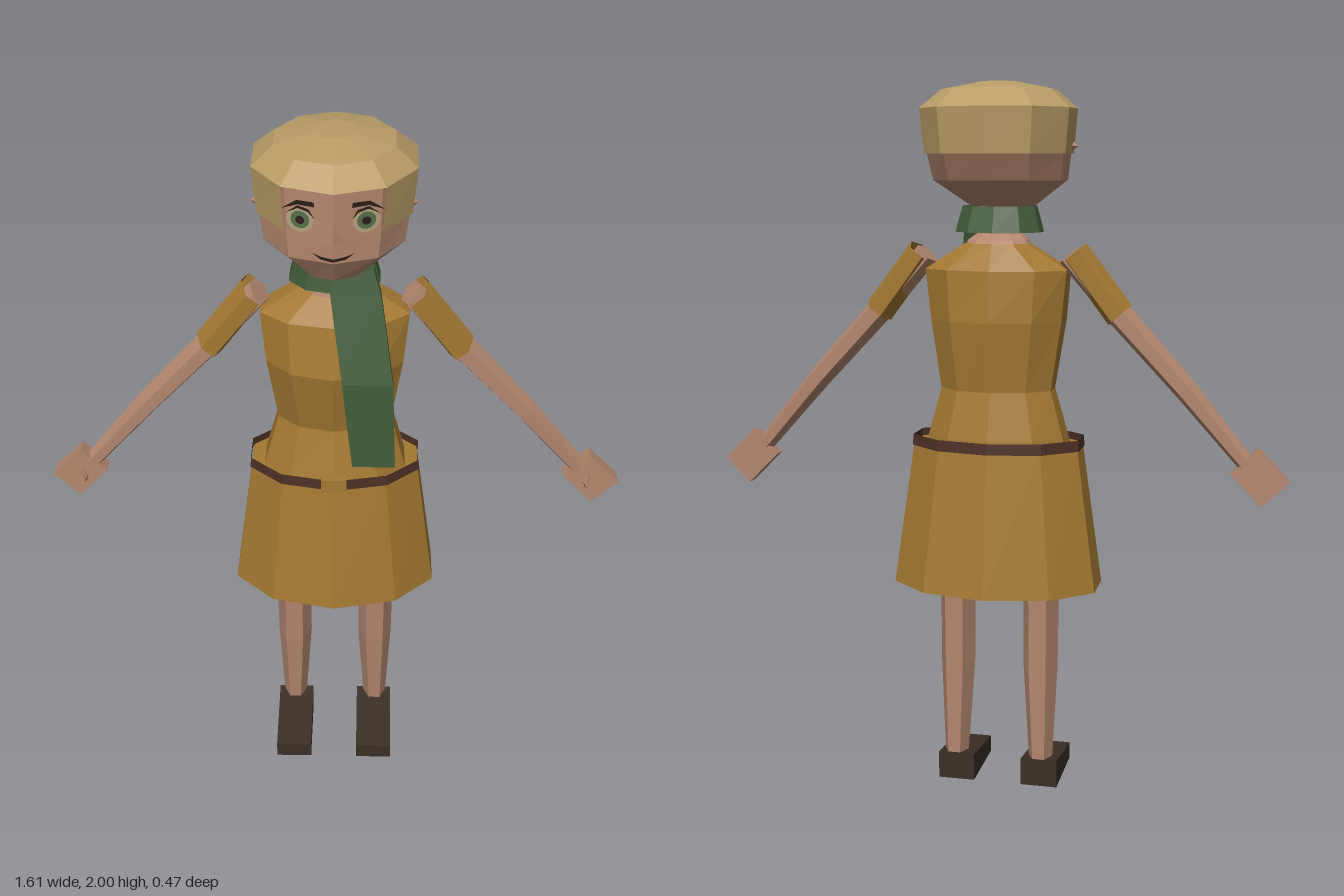
import * as THREE from 'three';
import { ConvexGeometry } from 'three/addons/geometries/ConvexGeometry.js';

const V = (x, y, z) => new THREE.Vector3(x, y, z);

function paint(name, color, side = THREE.FrontSide) {
  const m = new THREE.MeshStandardMaterial({ color, side });
  m.name = name;
  return m;
}

// One polygonal cross-section around (cx, y); zf and zb are its front and back.
// tilt turns it about z. The first corner is placed at the angle start.
function ring(cx, y, hw, zf, zb, n, start = 0, tilt = 0) {
  const angles = Array.from({ length: n }, (_, i) => start + (i / n) * Math.PI * 2);
  const mx = Math.max(...angles.map(a => Math.abs(Math.cos(a))));
  const mz = Math.max(...angles.map(a => Math.abs(Math.sin(a))));
  return angles.map(a => {
    const u = (Math.cos(a) / mx) * hw;
    return V(cx + u * Math.cos(tilt), y + u * Math.sin(tilt),
      (zf + zb) / 2 + (Math.sin(a) / mz) * (zf - zb) / 2);
  });
}

// Faceted skin through rings listed from bottom to top
function loft(rings, { bottom = true, top = true, skip = () => false } = {}) {
  const p = [];
  const tri = (...v) => v.forEach(q => p.push(q.x, q.y, q.z));
  const n = rings[0].length;
  for (let r = 0; r < rings.length - 1; r++) {
    for (let i = 0; i < n; i++) {
      if (skip(i)) continue;
      const j = (i + 1) % n, a = rings[r], b = rings[r + 1];
      tri(a[i], b[i], a[j]);
      tri(a[j], b[i], b[j]);
    }
  }
  const cap = (pts, up) => {
    const c = pts.reduce((s, q) => s.add(q), V(0, 0, 0)).divideScalar(n);
    pts.forEach((q, i) => (up ? tri(c, pts[(i + 1) % n], q) : tri(c, q, pts[(i + 1) % n])));
  };
  if (bottom) cap(rings[0], false);
  if (top) cap(rings[rings.length - 1], true);
  const g = new THREE.BufferGeometry();
  g.setAttribute('position', new THREE.Float32BufferAttribute(p, 3));
  g.computeVertexNormals();
  return g;
}

// Ten-sided body section with a corner at the front: [y, halfWidth, zFront, zBack]
const body = (sections, opts) =>
  loft(sections.map(([y, hw, zf, zb]) => ring(0, y, hw, zf, zb, 10, Math.PI / 2)), opts);

// Six-sided limb: [x, y, halfWidth, zFront, zBack]
const limb = (sections, tilt, opts) =>
  loft(sections.map(([x, y, hw, zf, zb]) => ring(x, y, hw, zf, zb, 6, 0, tilt)), opts);

// Lay a flat shape on the angled front planes of the face
function onFace(g, lift) {
  const p = g.attributes.position;
  for (let i = 0; i < p.count; i++) p.setZ(i, 0.199 - 0.31 * Math.abs(p.getX(i)) + lift);
  g.computeVertexNormals();
  return g;
}
const facePatch = (pts, lift) =>
  onFace(new THREE.ShapeGeometry(new THREE.Shape(pts.map(([x, y]) => new THREE.Vector2(x, y)))), lift);

export function createModel() {
  const skin = paint('skin', 0xb4876f);
  const dress = paint('mustard cloth', 0xa57932, THREE.DoubleSide);
  const hairCol = paint('blond hair', 0xb99d66, THREE.DoubleSide);
  const green = paint('green wool', 0x415a38, THREE.DoubleSide);
  const leather = paint('belt leather', 0x4c3025, THREE.DoubleSide);
  const shoeCol = paint('dark shoe', 0x3a2f25);
  const dark = paint('dark features', 0x2b1e18);
  const eyeCol = paint('eye', 0xb3a27c);
  const iris = paint('iris', 0x54704c);

  const model = new THREE.Group();
  model.name = 'figure';
  const add = (name, geo, mat, parent = model) => {
    const m = new THREE.Mesh(geo, mat);
    m.name = name;
    parent.add(m);
    return m;
  };

  // Head and neck
  add('head', body([[1.67, 0.085, 0.15, -0.06], [1.74, 0.177, 0.195, -0.17],
    [1.81, 0.187, 0.197, -0.208], [1.93, 0.19, 0.197, -0.208]]), skin);
  add('neck', body([[1.55, 0.095, 0.06, -0.11], [1.58, 0.08, 0.05, -0.08],
    [1.6, 0.055, 0.052, -0.045], [1.69, 0.055, 0.052, -0.045]]), skin);
  add('nose', new ConvexGeometry([V(0, 1.84, 0.195), V(-0.027, 1.797, 0.185),
    V(0.027, 1.797, 0.185), V(0, 1.81, 0.238), V(0, 1.81, 0.17)]), skin);

  // Hair: a crown, and a band left open over the face
  add('hairCrown', body([[1.93, 0.205, 0.208, -0.233], [1.98, 0.15, 0.155, -0.165],
    [2.0, 0.05, 0.05, -0.07]], { bottom: false }), hairCol);
  add('hairBand', body([[1.81, 0.194, 0.205, -0.222], [1.93, 0.205, 0.208, -0.233]],
    { bottom: false, top: false, skip: i => i === 0 || i === 9 }), hairCol);

  // Dress
  add('bodice', body([[1.0, 0.2, 0.135, -0.165], [1.04, 0.19, 0.125, -0.16], [1.17, 0.155, 0.09, -0.13],
    [1.36, 0.183, 0.13, -0.15], [1.5, 0.197, 0.1, -0.14], [1.57, 0.088, 0.05, -0.105]]), dress);
  add('skirt', body([[0.61, 0.288, 0.182, -0.225], [1.015, 0.232, 0.137, -0.17]], { bottom: false }), dress);
  add('belt', body([[1.005, 0.237, 0.139, -0.172], [1.036, 0.235, 0.136, -0.17]],
    { bottom: false, top: false }), leather);
  add('buckle', new THREE.BoxGeometry(0.07, 0.04, 0.02), dress).position.set(0, 1.022, 0.132);

  // Scarf collar and hanging end
  add('scarfCollar', body([[1.6, 0.118, 0.095, -0.1], [1.67, 0.1, 0.08, -0.075]],
    { bottom: false, top: false }), green);
  const tail = [[0.05, 0.165, 1.12, 0.182], [0.022, 0.155, 1.37, 0.168], [-0.01, 0.12, 1.6, 0.102],
    [0, 0.1, 1.665, 0.085]];
  add('scarfEnd', loft(tail.map(([l, r, y, z]) =>
    [V(r, y, z - 0.026), V(r, y, z), V(l, y, z), V(l, y, z - 0.026)])), green);

  // Paired parts, made for the left and mirrored
  for (const [label, s] of [['left', 1], ['right', -1]]) {
    const half = new THREE.Group();
    half.name = label + 'Side';
    half.scale.x = s;
    model.add(half);
    const put = (name, geo, mat) => add(label + name, geo, mat, half);

    // Face details
    const disc = (r, lift) => onFace(new THREE.CircleGeometry(r, 12).translate(0.08, 1.852, 0), lift);
    put('Eye', disc(0.034, 0.004), eyeCol);
    put('Iris', disc(0.023, 0.006), iris);
    put('Pupil', disc(0.011, 0.008), dark);
    put('UpperLid', facePatch([[0.044, 1.858], [0.06, 1.876], [0.085, 1.883], [0.116, 1.866],
      [0.085, 1.89], [0.058, 1.883]].reverse(), 0.009), dark);
    put('Brow', facePatch([[0.045, 1.89], [0.085, 1.892], [0.125, 1.876], [0.088, 1.903],
      [0.046, 1.903]], 0.008), dark);
    put('Mouth', facePatch([[0, 1.75], [0.03, 1.753], [0.052, 1.768], [0.03, 1.761], [0, 1.758]], 0.006), dark);
    const ear = put('Ear', new THREE.ConeGeometry(0.026, 0.03, 4).toNonIndexed(), skin);
    ear.geometry.computeVertexNormals();
    ear.rotation.z = -Math.PI / 2;
    ear.position.set(0.195, 1.83, 0.032);

    // Arm, sleeve and hand
    const tilt = 0.72;
    put('Arm', limb([[0.69, 0.985, 0.024, 0, -0.055], [0.52, 1.185, 0.032, 0.015, -0.068],
      [0.34, 1.38, 0.036, 0.02, -0.072], [0.2, 1.54, 0.034, 0.02, -0.072]], tilt), skin);
    put('Sleeve', limb([[0.34, 1.38, 0.042, 0.03, -0.08], [0.215, 1.545, 0.041, 0.035, -0.085]],
      tilt, { bottom: false, top: false }), dress);
    const hand = put('Hand', new THREE.BoxGeometry(0.1, 0.122, 0.045), skin);
    hand.position.set(0.729, 0.949, -0.029);
    hand.rotation.z = Math.PI / 4;
    put('Thumb', new ConvexGeometry([V(0.705, 0.945, -0.01), V(0.72, 0.975, -0.01),
      V(0.727, 0.955, -0.01), V(0.713, 0.92, -0.01), V(0.716, 0.935, 0.018)]), skin);

    // Leg and wedge shoe
    put('Leg', limb([[0.125, 0.09, 0.035, 0.02, -0.055], [0.122, 0.36, 0.05, 0.045, -0.06],
      [0.122, 0.52, 0.051, 0.052, -0.062], [0.122, 0.95, 0.058, 0.06, -0.07]], 0), skin);
    const shoe = new THREE.BoxGeometry(0.106, 0.08, 0.226).translate(0.123, 0.04, 0.077);
    const p = shoe.attributes.position;
    for (let i = 0; i < p.count; i++) if (p.getY(i) > 0.05 && p.getZ(i) > 0) p.setY(i, 0.048);
    shoe.computeVertexNormals();
    put('Shoe', shoe, shoeCol);
  }
  return model;
}
